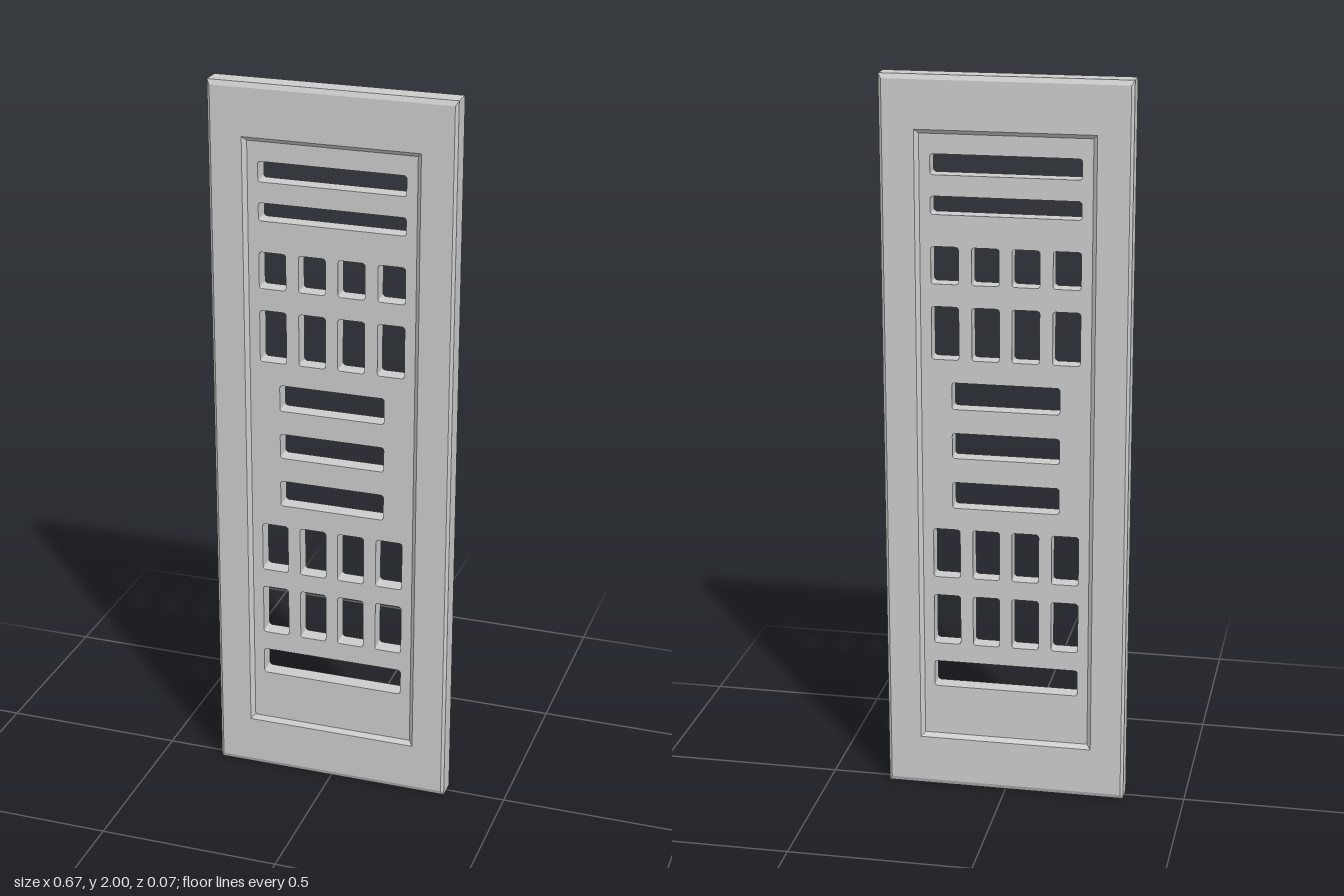
import * as THREE from 'three';

const material = new THREE.MeshStandardMaterial({ color: 0xcccccc, flatShading: true, side: THREE.DoubleSide });

// Rectangular ring surface lofted through [halfWidth, bottom, top, z] sections
function loftRects(sections) {
  const corners = ([w, b, t, z]) => [[-w, b, z], [w, b, z], [w, t, z], [-w, t, z]];
  const pos = [];
  for (let i = 0; i < sections.length - 1; i++) {
    const a = corners(sections[i]), c = corners(sections[i + 1]);
    for (let k = 0; k < 4; k++) {
      const n = (k + 1) % 4;
      pos.push(...a[k], ...c[k], ...c[n], ...a[k], ...c[n], ...a[n]);
    }
  }
  const g = new THREE.BufferGeometry();
  g.setAttribute('position', new THREE.Float32BufferAttribute(pos, 3));
  g.computeVertexNormals();
  return g;
}

// Slot outline with small rounded corners
function slot(cx, halfW, y0, y1, r = 0.008) {
  const x0 = cx - halfW, x1 = cx + halfW, p = new THREE.Path();
  p.moveTo(x0 + r, y0);
  p.lineTo(x1 - r, y0).absarc(x1 - r, y0 + r, r, -Math.PI / 2, 0);
  p.lineTo(x1, y1 - r).absarc(x1 - r, y1 - r, r, 0, Math.PI / 2);
  p.lineTo(x0 + r, y1).absarc(x0 + r, y1 - r, r, Math.PI / 2, Math.PI);
  p.lineTo(x0, y0 + r).absarc(x0 + r, y0 + r, r, Math.PI, Math.PI * 1.5);
  return p;
}

export function createModel() {
  const group = new THREE.Group();
  group.name = 'slottedPanel';
  const Z = 0.033, panelZ = 0.023;

  // Frame: recess slope, flat face and chamfer on the front, mirrored to the back
  const half = [
    [0.229, 0.155, 1.847, panelZ],
    [0.24, 0.143, 1.858, Z],
    [0.325, 0.013, 1.987, Z],
    [0.333, 0, 2, 0.027],
  ];
  const back = half.map(([w, b, t, z]) => [w, b, t, -z]).reverse();
  const frame = new THREE.Mesh(loftRects([...half, ...back]), material);
  frame.name = 'frame';
  group.add(frame);

  // Recessed panel pierced by rows of slots
  const shape = new THREE.Shape([[-0.229, 0.155], [0.229, 0.155], [0.229, 1.847], [-0.229, 1.847]]
    .map(([x, y]) => new THREE.Vector2(x, y)));
  const wide = [[0.298, 0.373], [1.634, 1.683], [1.739, 1.794]];
  const narrow = [[0.825, 0.899], [0.967, 1.038], [1.105, 1.179]];
  const cells = [[0.427, 0.57], [0.623, 0.763], [1.242, 1.387], [1.448, 1.549]];
  for (const [a, b] of wide) shape.holes.push(slot(0, 0.2, a, b));
  for (const [a, b] of narrow) shape.holes.push(slot(0, 0.146, a, b));
  for (const [a, b] of cells)
    for (const x of [-0.163, -0.054, 0.054, 0.163]) shape.holes.push(slot(x, 0.037, a, b));
  const geo = new THREE.ExtrudeGeometry(shape, { depth: 2 * panelZ, bevelEnabled: false, curveSegments: 4 });
  geo.translate(0, 0, -panelZ);
  const panel = new THREE.Mesh(geo, material);
  panel.name = 'piercedPanel';
  group.add(panel);

  return group;
}
